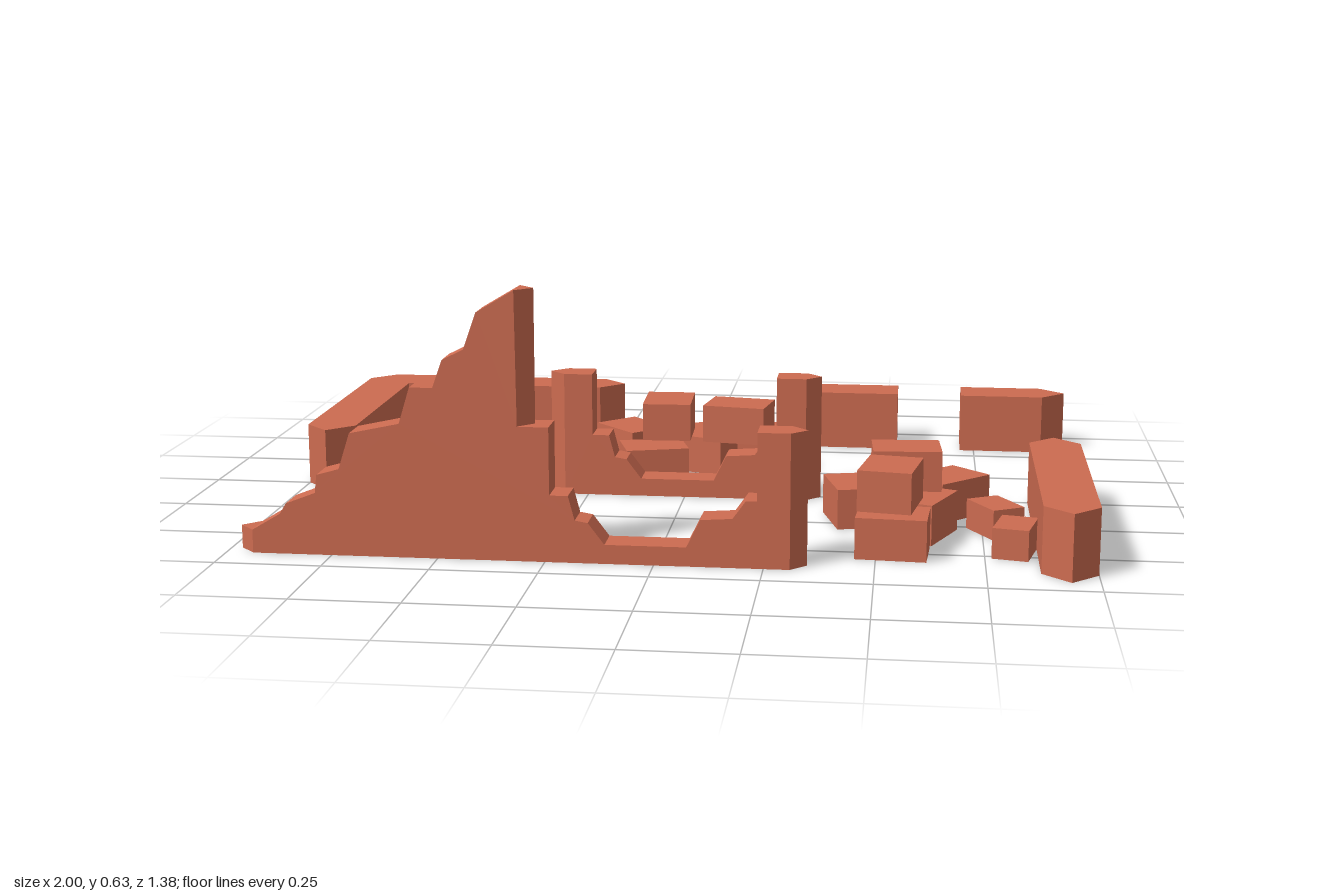
import * as THREE from 'three';

const brick = new THREE.MeshStandardMaterial({ color: 0xcc6b50, flatShading: true });
const wood = new THREE.MeshStandardMaterial({ color: 0xc68660, flatShading: true });

const shapeOf = (pts) => new THREE.Shape(pts.map(([x, y]) => new THREE.Vector2(x, y)));

// Prism raised from a floor plan of [x, z] points
function planPrism(name, pts, y0, y1, material = brick) {
  const geo = new THREE.ExtrudeGeometry(shapeOf(pts.map(([x, z]) => [x, -z])), { depth: y1 - y0, bevelEnabled: false });
  geo.rotateX(-Math.PI / 2).translate(0, y0, 0);
  const mesh = new THREE.Mesh(geo, material);
  mesh.name = name;
  return mesh;
}

const HALF = 0.039; // half thickness of the thin broken walls

// Thin wall from an [x, y] silhouette, with wedge ends [x, tipX, y0, y1]
function brokenWall(name, profile, wedges, z) {
  const wall = new THREE.Group();
  wall.name = name;
  const geo = new THREE.ExtrudeGeometry(shapeOf(profile), { depth: HALF * 2, bevelEnabled: false });
  const body = new THREE.Mesh(geo.translate(0, 0, -HALF), brick);
  body.name = 'wallBody';
  wall.add(body);
  for (const [x, tip, y0, y1] of wedges) {
    wall.add(planPrism('wallPointedEnd', [[x, -HALF], [tip, 0], [x, HALF]], y0, y1));
  }
  wall.position.z = z;
  return wall;
}

// Stone lying along direction (dx, dz)
function stone(name, x, z, dx, dz, y0, [l, h, w]) {
  const mesh = new THREE.Mesh(new THREE.BoxGeometry(l, h, w), brick);
  mesh.name = name;
  mesh.position.set(x, y0 + h / 2, z);
  mesh.rotation.y = -Math.atan2(dz, dx);
  return mesh;
}

export function createModel() {
  const model = new THREE.Group();
  model.name = 'ruin';
  const H = 0.157;

  // Thick low walls
  model.add(planPrism('cornerWall', [
    [-0.936, -0.69], [-0.717, -0.69], [-0.717, -0.567], [-0.872, -0.567],
    [-0.872, 0], [-0.936, 0.063], [-1, 0], [-1, -0.627],
  ], 0, H));
  model.add(planPrism('sideWall', [
    [0.936, -0.063], [1, 0], [1, 0.627], [0.936, 0.69], [0.872, 0.627], [0.872, 0],
  ], 0, H));
  for (const [flat, shoulder, tip] of [[-0.535, -0.313, -0.25], [0.535, 0.313, 0.25], [0.712, 0.936, 1]]) {
    model.add(planPrism('backWallPiece', [
      [flat, -0.69], [shoulder, -0.69], [tip, -0.63], [shoulder, -0.567], [flat, -0.567],
    ], 0, H));
  }

  // Broken opening shared by both thin walls
  const opening = [
    [-0.31, 0.315], [-0.238, 0.315], [-0.238, 0.157], [-0.195, 0.157], [-0.18, 0.1], [-0.15, 0.095],
    [-0.112, 0.045], [0.075, 0.045], [0.107, 0.11], [0.18, 0.115], [0.21, 0.157], [0.235, 0.157],
    [0.235, 0.315], [0.31, 0.315], [0.31, 0],
  ];
  const slope = [
    [-0.937, 0], [-0.937, 0.055], [-0.87, 0.095], [-0.855, 0.12], [-0.785, 0.147], [-0.78, 0.19],
    [-0.727, 0.205], [-0.7, 0.29], [-0.583, 0.315], [-0.557, 0.4], [-0.503, 0.4], [-0.48, 0.465],
    [-0.43, 0.49], [-0.4, 0.575], [-0.313, 0.627],
  ];
  model.add(brokenWall('frontWall', [...slope, ...opening],
    [[0.31, 0.347, 0, 0.315], [-0.937, -0.975, 0, 0.055], [-0.313, -0.275, 0.315, 0.627]], 0.622));
  model.add(brokenWall('middleWall', [[-0.31, 0], ...opening],
    [[0.31, 0.347, 0, 0.315], [-0.31, -0.35, 0, 0.315]], 0));

  // Floor planks: z at the wall end, then at the free end
  for (const [a, b, c, d] of [[-0.53, -0.395, -0.53, -0.395], [-0.372, -0.24, -0.385, -0.257], [-0.235, -0.107, -0.21, -0.08]]) {
    model.add(planPrism('floorPlank', [[-0.872, a], [-0.313, c], [-0.313, d], [-0.872, b]], 0.005, 0.03, wood));
  }

  // Fallen stones: x, z, direction dx, dz
  const big = [0.165, 0.098, 0.127], small = [0.123, 0.073, 0.085];
  const lower = [
    [-0.187, -0.355, 21, 22], [0.02, -0.285, 25, 11], [0.19, -0.23, -3, 30], [-0.10, -0.125, 30, -9],
    [0.443, 0.212, 8, 30], [0.668, 0.123, -21, 21], [0.6, 0.33, -11, 27], [0.538, 0.5, 31, 2],
  ];
  const upper = [[-0.075, -0.255, 1, 31], [0.117, -0.22, 30, 5], [0.565, 0.238, 32, -2], [0.53, 0.43, -5, 30]];
  const pebbles = [[-0.02, -0.47, 21, -13], [0.155, -0.513, 22, 6], [0.78, 0.29, 12, 21], [0.82, 0.467, -5, 22]];
  for (const s of lower) model.add(stone('lowerStone', ...s, 0, big));
  for (const s of upper) model.add(stone('upperStone', ...s, 0.098, big));
  for (const s of pebbles) model.add(stone('smallStone', ...s, 0, small));

  return model;
}
